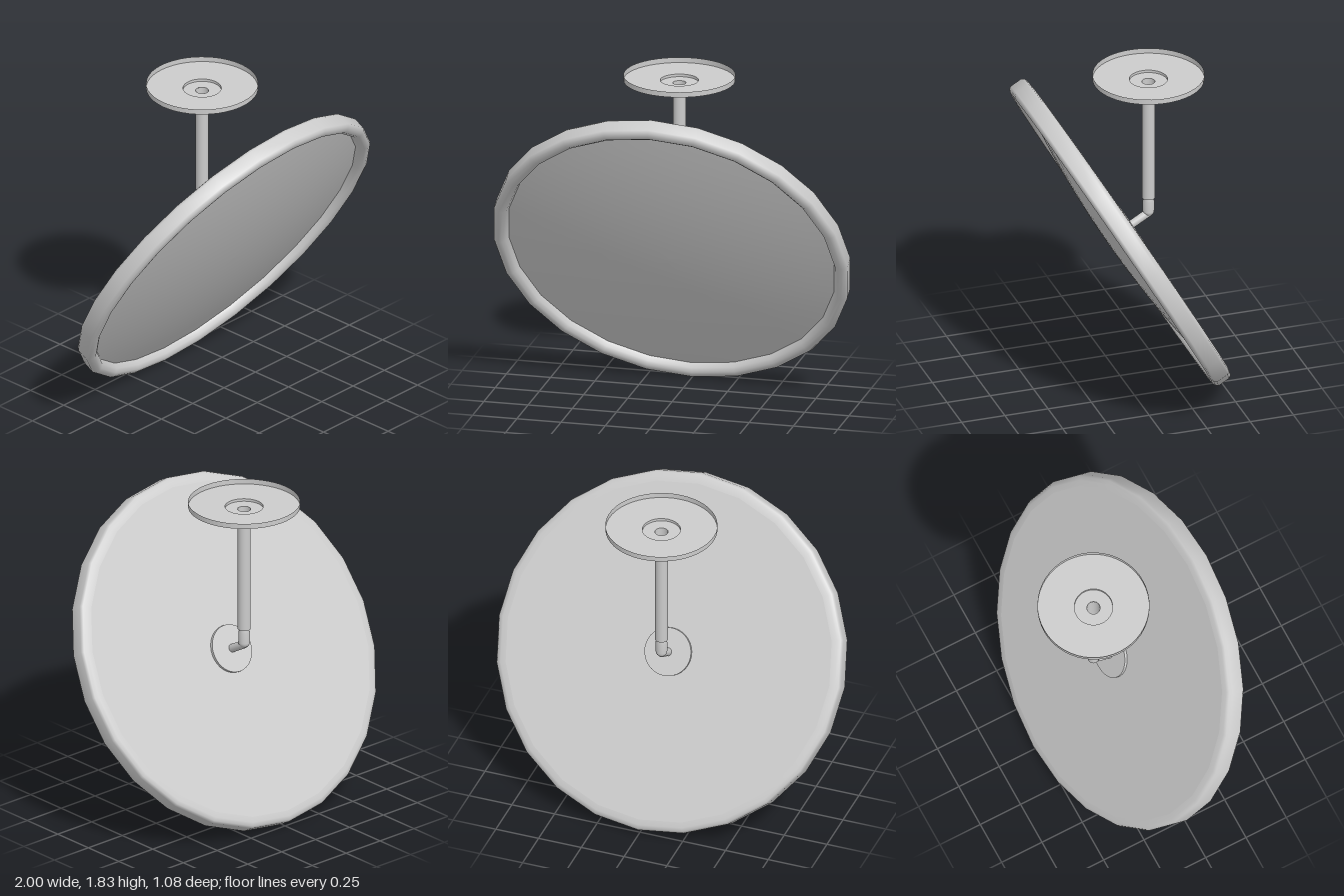
import * as THREE from 'three';

const grey = new THREE.MeshStandardMaterial({ color: 0xcccccc });
const greyThin = new THREE.MeshStandardMaterial({ color: 0xcccccc, side: THREE.DoubleSide });
const POLE_Z = -0.165;
const CENTRE_Y = 0.886;

function add(parent, name, geometry, material = grey) {
  const mesh = new THREE.Mesh(geometry, material);
  mesh.name = name;
  parent.add(mesh);
  return mesh;
}

function lathe(points, sides) {
  return new THREE.LatheGeometry(points.map(([r, y]) => new THREE.Vector2(r, y)), sides);
}

export function createModel() {
  const model = new THREE.Group();
  model.name = 'convexMirror';

  // Mirror head, tilted to look downwards; its own axis is z
  const head = new THREE.Group();
  head.name = 'mirrorHead';
  head.position.y = CENTRE_Y;
  head.rotation.x = Math.PI / 6;
  model.add(head);

  // Flat back panel with a rounded rim wrapping to the front
  add(head, 'backPanel', lathe([[0, -0.062], [0.5, -0.062], [0.94, -0.061]], 24).rotateX(Math.PI / 2));
  add(head, 'rim', lathe([
    [0.94, -0.061], [0.97, -0.058], [0.99, -0.051], [1, -0.035], [1, 0.035], [0.99, 0.05],
    [0.97, 0.057], [0.95, 0.055], [0.93, 0.04], [0.92, 0.012], [0.918, -0.005],
  ], 24).rotateX(Math.PI / 2), greyThin);

  // Shallow domed reflecting face
  const dome = [];
  for (let i = 0; i <= 12; i++) {
    const r = 0.92 * (1 - i / 12);
    dome.push([r, 0.089 - 0.093 * r * r]);
  }
  add(head, 'mirrorFace', lathe(dome, 24).rotateX(Math.PI / 2));

  // Mounting plate and pin behind the mirror
  add(head, 'backPlate', new THREE.CylinderGeometry(0.134, 0.134, 0.016, 32).rotateX(Math.PI / 2))
    .position.z = -0.07;
  add(head, 'hingePin', new THREE.CylinderGeometry(0.023, 0.023, 0.12, 20).rotateX(Math.PI / 2))
    .position.z = -0.135;

  // Elbow joint under the pole
  const elbow = new THREE.Group();
  elbow.name = 'elbow';
  elbow.position.z = POLE_Z;
  model.add(elbow);
  add(elbow, 'elbowSleeve', lathe([[0.032, 0.995], [0.032, 1.055], [0.027, 1.065], [0.027, 1.085]], 24), greyThin);
  add(elbow, 'elbowKnuckle', new THREE.SphereGeometry(0.032, 24, 12)).position.y = 0.995;

  // Hollow pole
  const pole = add(model, 'pole', new THREE.CylinderGeometry(0.036, 0.036, 0.715, 24, 1, true), greyThin);
  pole.position.set(0, 1.4325, POLE_Z);
  const poleEnd = add(model, 'poleEnd', new THREE.CircleGeometry(0.036, 24).rotateX(Math.PI / 2));
  poleEnd.position.set(0, 1.075, POLE_Z);

  // Open-topped ceiling cup with a stepped recess around the pole
  const cup = new THREE.Group();
  cup.name = 'ceilingCup';
  cup.position.z = POLE_Z;
  model.add(cup);
  const steps = [
    ['recessFloor', [0.036, 1.79], [0.105, 1.79]],
    ['recessWall', [0.105, 1.79], [0.105, 1.805]],
    ['cupFloor', [0.105, 1.805], [0.307, 1.805]],
    ['cupWall', [0.307, 1.805], [0.307, 1.835]],
  ];
  for (const [name, a, b] of steps) add(cup, name, lathe([a, b], 48), greyThin);

  return model;
}
